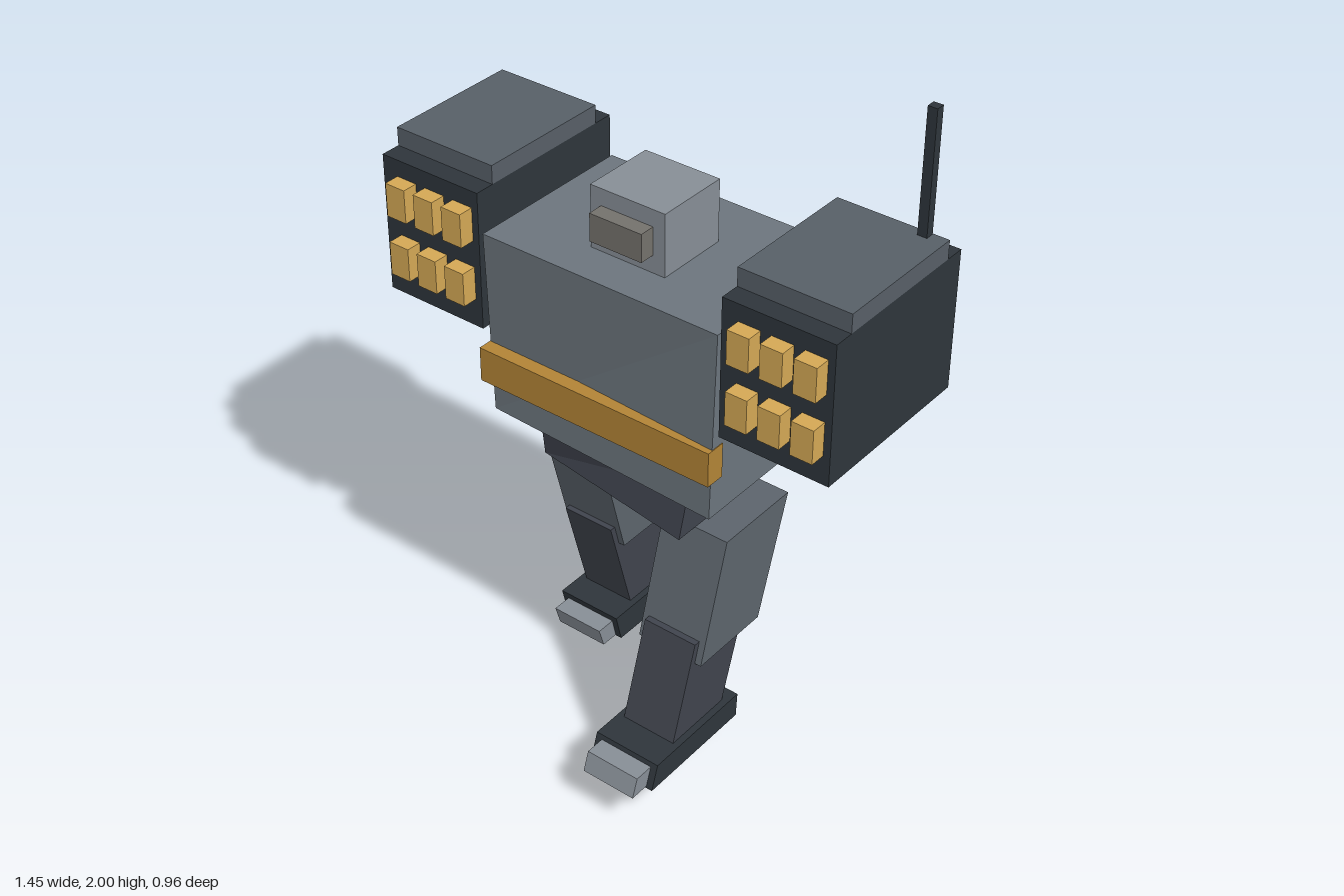
import * as THREE from 'three';

const COLORS = {
  torso: 0x6c757d, pelvis: 0x3f434d, thigh: 0x5c646c, shin: 0x40444d, dark: 0x2e353b,
  cap: 0x575f67, light: 0x878e96, visor: 0x74716c, cell: 0xd4a855, band: 0xb28436,
};
const material = (color) => new THREE.MeshStandardMaterial({ color, flatShading: true });

function addMesh(parent, name, color, geometry) {
  const mesh = new THREE.Mesh(geometry, material(color));
  mesh.name = name;
  parent.add(mesh);
  return mesh;
}

// Straight block given by its extents
function block(parent, name, color, [x0, x1], [y0, y1], [z0, z1]) {
  const mesh = addMesh(parent, name, color, new THREE.BoxGeometry(x1 - x0, y1 - y0, z1 - z0));
  mesh.position.set((x0 + x1) / 2, (y0 + y1) / 2, (z0 + z1) / 2);
  return mesh;
}

// Slanted block: each side profile is { y: [bottom, top], bottom: [back, front], top: [back, front] }
function slanted(parent, name, color, [x0, x1], right, left = right) {
  const geometry = new THREE.BoxGeometry(1, 1, 1);
  const p = geometry.attributes.position;
  for (let i = 0; i < p.count; i++) {
    const side = p.getX(i) < 0 ? right : left;
    const up = p.getY(i) > 0;
    const front = p.getZ(i) > 0 ? 1 : 0;
    p.setXYZ(i, p.getX(i) < 0 ? x0 : x1, side.y[up ? 1 : 0], (up ? side.top : side.bottom)[front]);
  }
  geometry.computeVertexNormals();
  return addMesh(parent, name, color, geometry);
}

function addLeg(parent, name, x, thigh, shin, foot, toe) {
  const leg = new THREE.Group();
  leg.name = name;
  const span = (half) => [x - half, x + half];
  slanted(leg, 'thigh', COLORS.thigh, span(0.105), thigh);
  slanted(leg, 'shin', COLORS.shin, span(0.085), shin);
  slanted(leg, 'foot', COLORS.dark, span(0.105), foot);
  slanted(leg, 'toe', COLORS.light, span(0.085), toe);
  parent.add(leg);
}

function addPod(parent, name, x) {
  const pod = new THREE.Group();
  pod.name = name;
  const span = [x - 0.166, x + 0.166];
  block(pod, 'podBody', COLORS.dark, span, [1.175, 1.59], [-0.36, 0.18]);
  block(pod, 'podCap', COLORS.cap, span, [1.59, 1.645], [-0.3, 0.12]);
  // Two rows of three launcher cells
  for (const y of [1.31, 1.49]) {
    for (let i = -1; i <= 1; i++) {
      const cx = x + 0.014 + i * 0.098;
      block(pod, 'launcherCell', COLORS.cell, [cx - 0.033, cx + 0.033], [y - 0.05, y + 0.05], [0.17, 0.226]);
    }
  }
  parent.add(pod);
}

export function createModel() {
  const model = new THREE.Group();
  model.name = 'walkerRobot';

  // Torso and pelvis twist gently with the stride
  slanted(model, 'torso', COLORS.torso, [-0.38, 0.38],
    { y: [0.91, 1.475], bottom: [-0.365, 0.16], top: [-0.35, 0.18] },
    { y: [0.92, 1.475], bottom: [-0.325, 0.2], top: [-0.35, 0.18] });
  slanted(model, 'pelvis', COLORS.pelvis, [-0.275, 0.27],
    { y: [0.76, 0.93], bottom: [-0.33, 0.08], top: [-0.28, 0.1] },
    { y: [0.785, 0.93], bottom: [-0.22, 0.18], top: [-0.245, 0.14] });
  block(model, 'chestBand', COLORS.band, [-0.382, 0.382], [1.03, 1.135], [0.15, 0.21]);

  // Head
  block(model, 'head', COLORS.light, [-0.12, 0.12], [1.46, 1.66], [-0.17, 0.055]);
  block(model, 'visor', COLORS.visor, [-0.085, 0.082], [1.527, 1.61], [0.03, 0.102]);

  // Shoulder pods and antenna
  addPod(model, 'leftPod', 0.556);
  addPod(model, 'rightPod', -0.56);
  block(model, 'antenna', COLORS.dark, [0.646, 0.674], [1.58, 2], [-0.297, -0.271]);

  // Striding legs: left forward and lifted, right planted behind
  addLeg(model, 'leftLeg', 0.27,
    { y: [0.425, 0.785], bottom: [-0.045, 0.215], top: [-0.165, 0.11] },
    { y: [0.19, 0.49], bottom: [0.09, 0.31], top: [-0.01, 0.215] },
    { y: [0.125, 0.2], bottom: [0.045, 0.425], top: [0.04, 0.4] },
    { y: [0.13, 0.187], bottom: [0.38, 0.483], top: [0.36, 0.463] });
  addLeg(model, 'rightLeg', -0.274,
    { y: [0.345, 0.76], bottom: [-0.4, -0.135], top: [-0.29, -0.025] },
    { y: [0.08, 0.415], bottom: [-0.41, -0.19], top: [-0.32, -0.098] },
    { y: [0, 0.09], bottom: [-0.48, -0.118], top: [-0.46, -0.096] },
    { y: [0.003, 0.068], bottom: [-0.16, -0.06], top: [-0.14, -0.04] });

  return model;
}
